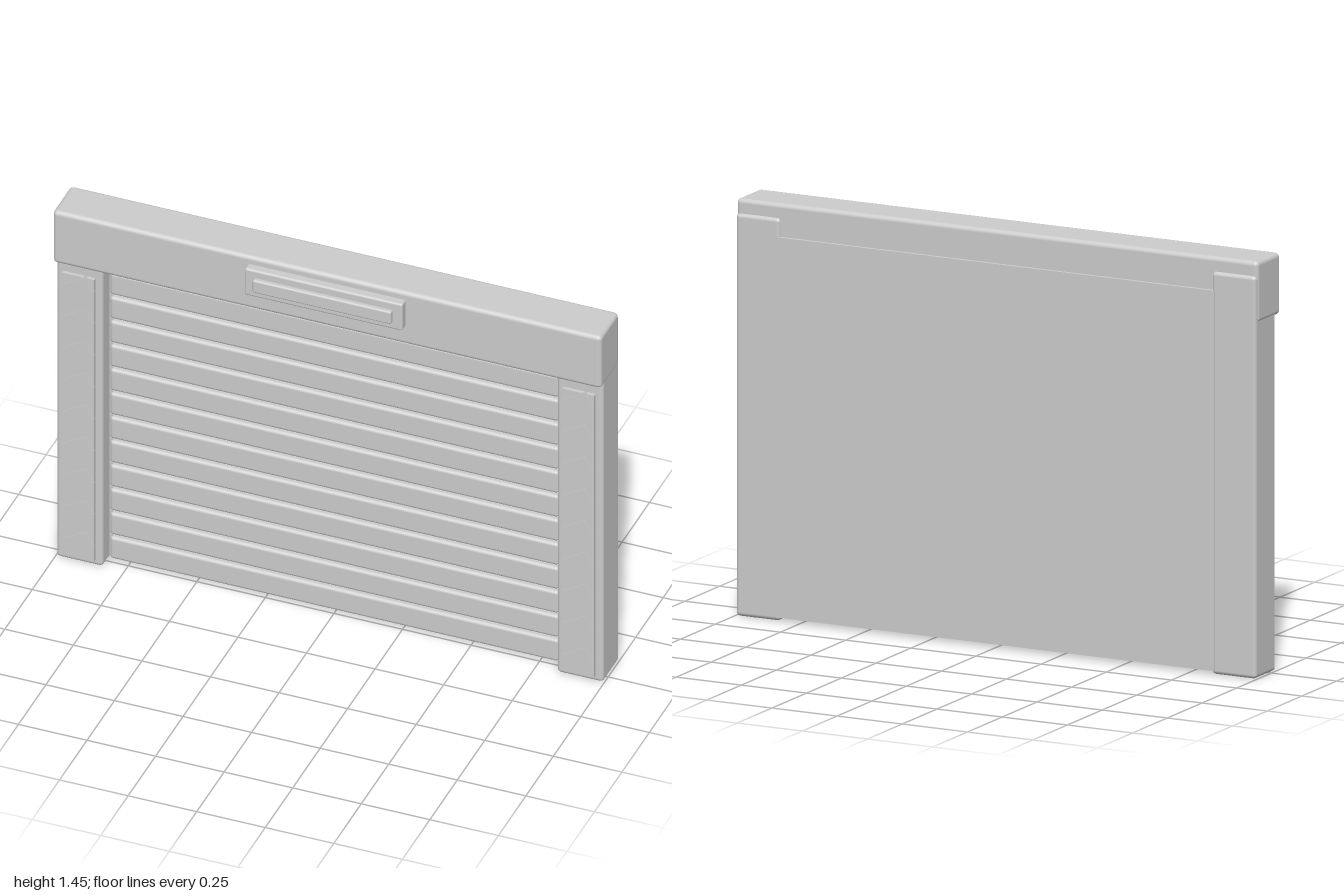
import * as THREE from 'three';
import { RoundedBoxGeometry } from 'three/addons/geometries/RoundedBoxGeometry.js';

export function createModel() {
  const model = new THREE.Group();
  model.name = 'rollerDoor';
  const grey = new THREE.MeshStandardMaterial({ color: 0xcccccc });
  grey.name = 'light grey';

  // Box given by its min and max corners; radius 0 gives sharp edges
  function block(name, [x0, y0, z0], [x1, y1, z1], radius = 0) {
    const w = x1 - x0, h = y1 - y0, d = z1 - z0;
    const geometry = radius
      ? new RoundedBoxGeometry(w, h, d, 3, radius)
      : new THREE.BoxGeometry(w, h, d);
    const mesh = new THREE.Mesh(geometry, grey);
    mesh.name = name;
    mesh.position.set((x0 + x1) / 2, (y0 + y1) / 2, (z0 + z1) / 2);
    model.add(mesh);
    return mesh;
  }

  // Header housing with its stepped sign plate
  block('header', [-1, 1.235, -0.1], [1, 1.45, 0.067], 0.016);
  block('signPlate', [-0.288, 1.31, 0.05], [0.288, 1.42, 0.098], 0.008);
  block('signInset', [-0.253, 1.338, 0.08], [0.253, 1.39, 0.114], 0.007);

  // Backing panel and horizontal slats
  block('backPanel', [-0.84, 0.012, -0.112], [0.84, 1.335, -0.025]);
  const slats = 12, pitch = 0.0995;
  for (let i = 0; i < slats; i++) {
    const y = 0.014 + i * pitch;
    block('slat' + (i + 1), [-0.818, y, -0.05], [0.818, y + 0.09, 0.002], 0.012);
  }

  // Side posts, each with a plate of slanted warning bars
  for (const side of [-1, 1]) {
    const label = side > 0 ? 'left' : 'right';
    const span = (a, b) => (side > 0 ? [a, b] : [-b, -a]);
    const [p0, p1] = span(0.828, 0.997);
    block(label + 'Post', [p0, 0, -0.11], [p1, 1.4, 0.04], 0.014);
    const [q0, q1] = span(0.853, 0.97);
    block(label + 'WarningPlate', [q0, 0.025, 0.03], [q1, 1.193, 0.053]);
    for (let i = 0; i < 9; i++) {
      const y = 0.091 + i * 0.132, x = side * 0.911;
      const bar = block(label + 'WarningBar' + (i + 1),
        [x - 0.05, y - 0.031, 0.045], [x + 0.05, y + 0.031, 0.062]);
      bar.rotation.z = Math.PI / 6;
    }
  }
  return model;
}
